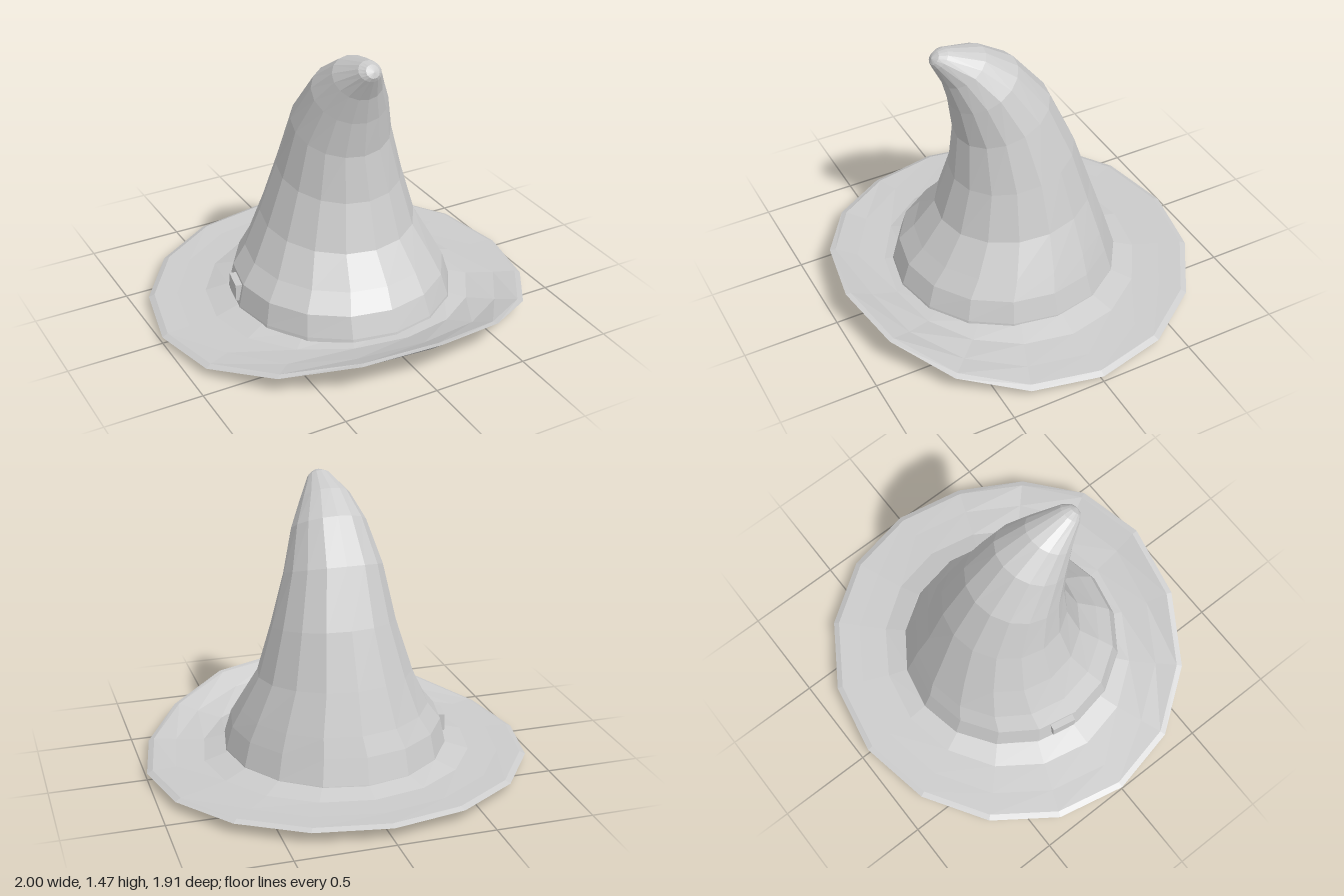
import * as THREE from 'three';

const SIDES = 16;
const material = new THREE.MeshStandardMaterial({ color: 0xcccccc, flatShading: true });

// Skin a list of rings; pointAt(ring, angle) gives a vertex, angle 0 is the front.
function loft(name, rings, pointAt) {
  const positions = [], index = [];
  rings.forEach((ring, i) => {
    for (let k = 0; k < SIDES; k++) {
      positions.push(...pointAt(ring, (k / SIDES) * Math.PI * 2));
      if (i === 0) continue;
      const n = (k + 1) % SIDES, lo = (i - 1) * SIDES, hi = i * SIDES;
      index.push(lo + k, lo + n, hi + n, lo + k, hi + n, hi + k);
    }
  });
  const indexed = new THREE.BufferGeometry();
  indexed.setAttribute('position', new THREE.Float32BufferAttribute(positions, 3));
  indexed.setIndex(index);
  const geometry = indexed.toNonIndexed();
  geometry.computeVertexNormals();
  const mesh = new THREE.Mesh(geometry, material);
  mesh.name = name;
  return mesh;
}

// Brim: closed profile from the underside centre, round the rim, to the crown.
function makeBrim() {
  const profile = [ // [radius, height]
    [0, 0], [0.45, 0.002], [0.72, 0.01], [0.92, 0.018], [1, 0.035],
    [0.97, 0.05], [0.85, 0.055], [0.7, 0.065], [0.58, 0.1], [0.5, 0.1],
  ];
  return loft('brim', profile, ([r, y], a) => {
    const front = Math.max(0, Math.cos(a)) ** 3;
    const back = Math.max(0, -Math.cos(a));
    const curl = Math.max(0, (r - 0.55) / 0.45) ** 1.6;
    return [
      r * (Math.sin(a) + 0.05 * front),
      y + curl * (0.185 * front + 0.03 * back),
      r * 0.956 * Math.cos(a),
    ];
  });
}

// Crown: tilted ellipses that shrink and bend forward to the tip.
function makeCrown() {
  const rings = [ // [half width, front z, front y, back z, back y, centre x]
    [0.585, 0.63, 0.06, -0.58, 0.06, 0],
    [0.58, 0.62, 0.11, -0.57, 0.1, 0],
    [0.55, 0.58, 0.22, -0.53, 0.23, -0.005],
    [0.49, 0.505, 0.31, -0.495, 0.33, 0.01],
    [0.4, 0.39, 0.46, -0.425, 0.54, 0.01],
    [0.32, 0.315, 0.7, -0.33, 0.82, 0.015],
    [0.255, 0.285, 0.94, -0.2, 1.11, 0],
    [0.195, 0.31, 1.13, -0.03, 1.32, -0.005],
    [0.13, 0.345, 1.27, 0.13, 1.42, -0.015],
    [0.06, 0.4, 1.385, 0.32, 1.465, -0.02],
    [0.035, 0.408, 1.405, 0.365, 1.46, -0.02],
    [0, 0.4, 1.435, 0.4, 1.435, -0.02],
  ];
  return loft('crown', rings, ([w, zf, yf, zb, yb, x], a) => {
    const t = (1 + Math.cos(a)) / 2;
    return [x + w * Math.sin(a), yb + (yf - yb) * t, zb + (zf - zb) * t];
  });
}

export function createModel() {
  const hat = new THREE.Group();
  hat.name = 'pointedHat';
  hat.add(makeBrim(), makeCrown());

  // Small raised clasp on the side of the crown base
  const clasp = new THREE.Mesh(new THREE.BoxGeometry(0.05, 0.09, 0.13), material);
  clasp.name = 'sideClasp';
  clasp.position.set(-0.55, 0.17, -0.06);
  clasp.rotation.y = -0.19;
  hat.add(clasp);
  return hat;
}
